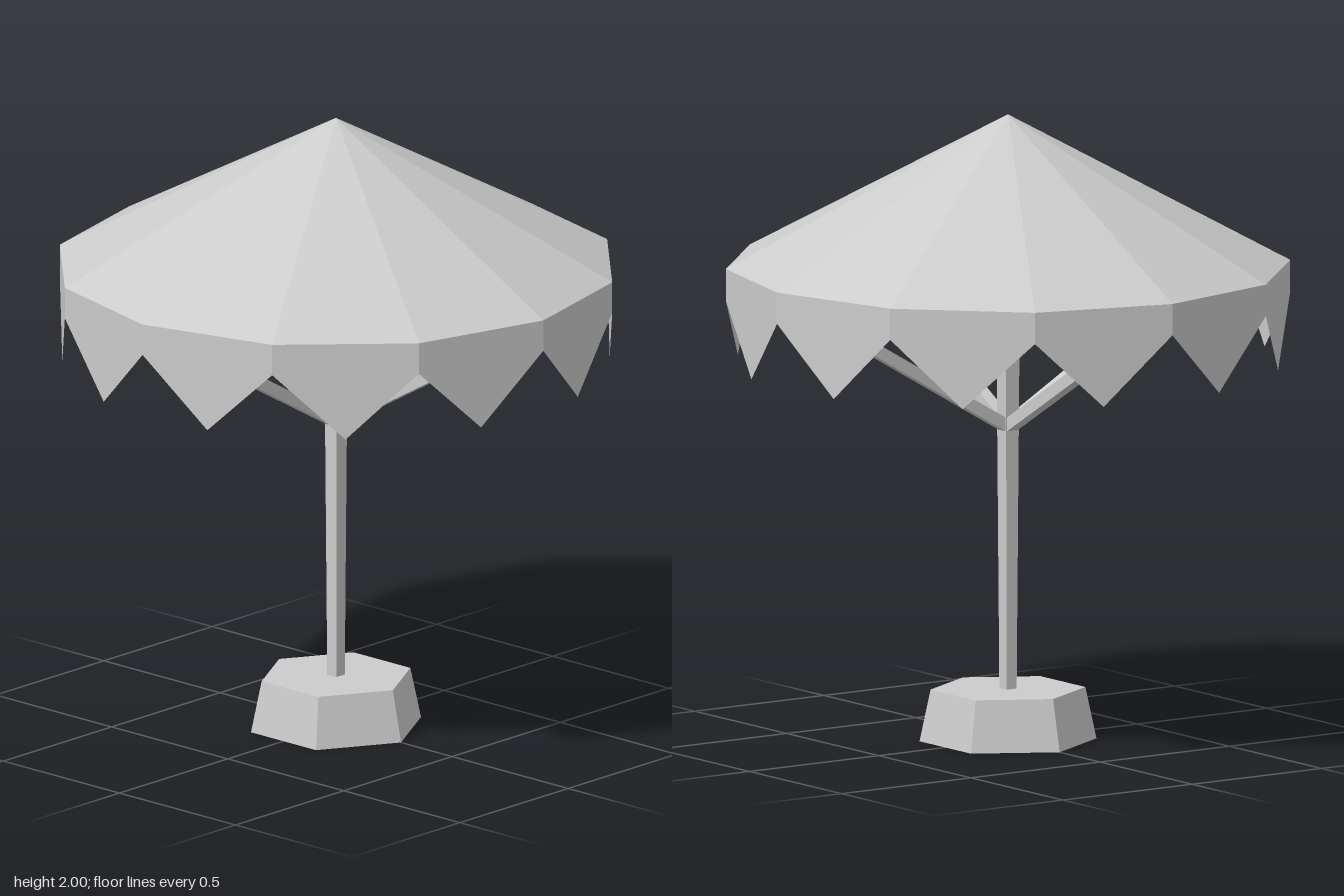
import * as THREE from 'three';

const SIDES = 12, RIM = 0.893, RIM_Y = 1.52, TOP_Y = 2;

export function createModel() {
  const group = new THREE.Group();
  const solid = new THREE.MeshStandardMaterial({ color: 0xcccccc, flatShading: true });
  const thin = new THREE.MeshStandardMaterial({ color: 0xcccccc, flatShading: true, side: THREE.DoubleSide });
  const add = (name, geometry, material, parent = group) => {
    const mesh = new THREE.Mesh(geometry, material);
    mesh.name = name;
    parent.add(mesh);
    return mesh;
  };

  // Hollow hexagonal base, open underneath
  const profile = [[0.28, 0], [0.245, 0.165], [0, 0.165]].map(p => new THREE.Vector2(...p));
  add('base', new THREE.LatheGeometry(profile, 6, Math.PI / 6), thin);

  // Square pole, slightly wider towards the top
  const poleBottom = 0.155, poleTop = 1.95;
  const pole = add('pole', new THREE.CylinderGeometry(
    0.06 * Math.SQRT1_2, 0.039 * Math.SQRT1_2, poleTop - poleBottom, 4, 1, false, Math.PI / 4), solid);
  pole.position.y = (poleTop + poleBottom) / 2;

  // Twelve-sided canopy
  const canopy = add('canopy', new THREE.ConeGeometry(RIM, TOP_Y - RIM_Y, SIDES, 1, true), thin);
  canopy.position.y = (TOP_Y + RIM_Y) / 2;

  // Pointed valance flap hanging from each rim edge
  const half = RIM * Math.sin(Math.PI / SIDES);
  const flap = new THREE.Shape();
  flap.moveTo(-half, 0);
  flap.lineTo(-half, -0.1);
  flap.lineTo(0, -0.315);
  flap.lineTo(half, -0.1);
  flap.lineTo(half, 0);
  const flapGeometry = new THREE.ShapeGeometry(flap);
  flapGeometry.translate(0, RIM_Y, RIM * Math.cos(Math.PI / SIDES));
  const valance = new THREE.Group();
  valance.name = 'valance';
  group.add(valance);
  for (let i = 0; i < SIDES; i++) {
    add('valanceFlap', flapGeometry, thin, valance).rotation.y = (i + 0.5) * 2 * Math.PI / SIDES;
  }

  // Four struts from the pole up to the rim corners
  const run = 0.875, rise = 0.505;
  const strutGeometry = new THREE.BoxGeometry(Math.hypot(run, rise), 0.038, 0.042);
  strutGeometry.rotateZ(Math.atan2(rise, run));
  strutGeometry.translate(run / 2, 1 + rise / 2, 0);
  for (let i = 0; i < 4; i++) {
    add('strut', strutGeometry, solid).rotation.y = i * Math.PI / 2;
  }

  return group;
}
